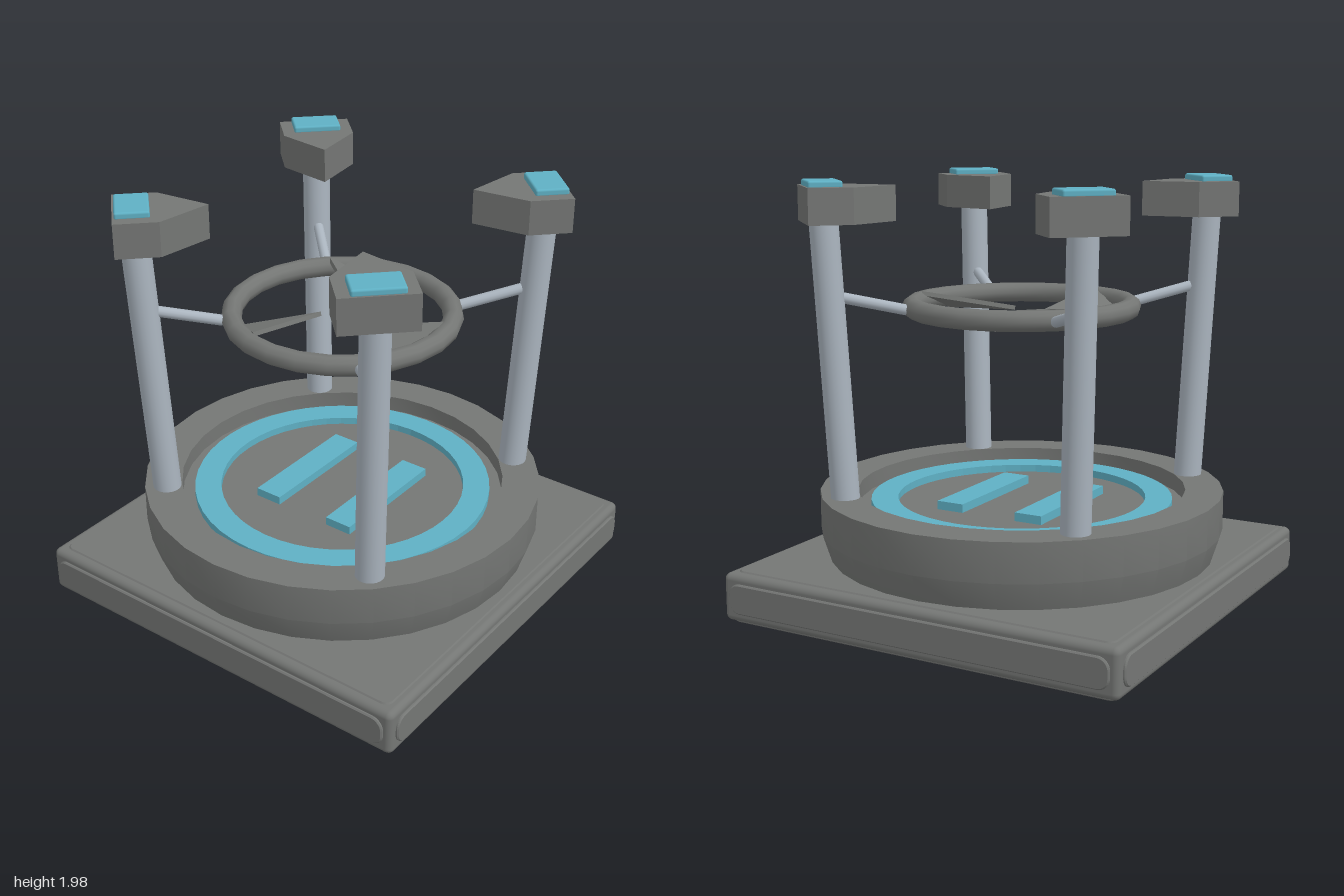
import * as THREE from 'three';
import { toCreasedNormals } from 'three/addons/utils/BufferGeometryUtils.js';
import { RoundedBoxGeometry } from 'three/addons/geometries/RoundedBoxGeometry.js';

const mat = (name, color) => {
  const m = new THREE.MeshStandardMaterial({ color });
  m.name = name;
  return m;
};

export function createModel() {
  const model = new THREE.Group();
  model.name = 'landingPad';
  const grey = mat('darkGrey', 0x747674);
  const metal = mat('paleMetal', 0xaab4be);
  const cyan = mat('cyan', 0x5fb0c4);

  const add = (parent, name, geometry, material, x = 0, y = 0, z = 0) => {
    const mesh = new THREE.Mesh(geometry, material);
    mesh.name = name;
    mesh.position.set(x, y, z);
    parent.add(mesh);
    return mesh;
  };

  // Flat polygon in (x, z), raised along y
  const slab = (points, height) => {
    const shape = new THREE.Shape(points.map(([x, z]) => new THREE.Vector2(x, -z)));
    return new THREE.ExtrudeGeometry(shape, { depth: height, bevelEnabled: false }).rotateX(-Math.PI / 2);
  };

  // Rounded panel in the xy plane with a small bevel, facing +z
  const panel = (w, h, r) => {
    const s = new THREE.Shape();
    const a = w / 2 - r, b = h / 2 - r;
    s.absarc(a, b, r, 0, Math.PI / 2);
    s.absarc(-a, b, r, Math.PI / 2, Math.PI);
    s.absarc(-a, -b, r, Math.PI, Math.PI * 1.5);
    s.absarc(a, -b, r, Math.PI * 1.5, Math.PI * 2);
    s.closePath();
    return new THREE.ExtrudeGeometry(s, {
      depth: 0.012, bevelThickness: 0.006, bevelSize: 0.006, bevelOffset: -0.006,
      bevelSegments: 1, curveSegments: 5,
    });
  };

  // Round bar between two points
  const bar = (parent, name, a, b, radius, sides) => {
    const from = new THREE.Vector3(...a), to = new THREE.Vector3(...b);
    const dir = to.clone().sub(from);
    const mesh = add(parent, name, new THREE.CylinderGeometry(radius, radius, dir.length(), sides), metal);
    mesh.position.copy(from).add(to).multiplyScalar(0.5);
    mesh.quaternion.setFromUnitVectors(new THREE.Vector3(0, 1, 0), dir.normalize());
  };

  const lathe = (profile) => toCreasedNormals(
    new THREE.LatheGeometry(profile.map(([r, y]) => new THREE.Vector2(r, y)), 32), 0.35);

  // Square base with raised panels on every side
  add(model, 'base', new RoundedBoxGeometry(1.976, 0.222, 1.976, 3, 0.03), grey, 0, 0.119, 0);
  for (let i = 0; i < 4; i++) {
    const side = new THREE.Group();
    side.name = 'baseSide';
    side.rotation.y = i * Math.PI / 2;
    add(side, 'sidePanel', panel(1.9, 0.14, 0.055), grey, 0, 0.12, 0.982);
    model.add(side);
  }
  add(model, 'topPanel', panel(1.89, 1.89, 0.04).rotateX(-Math.PI / 2), grey, 0, 0.218, 0);
  add(model, 'bottomPanel', panel(1.93, 1.93, 0.04).rotateX(Math.PI / 2), grey, 0, 0.018, 0);

  // Round platform with a sunken floor
  add(model, 'platform', lathe([
    [0.895, 0.22], [0.905, 0.25], [0.94, 0.36], [0.94, 0.54], [0.765, 0.54], [0.765, 0.46], [0, 0.46],
  ]), grey);

  // Pad markings: a ring and two parallel bars
  const ring = new THREE.Shape().absarc(0, 0, 0.705, 0, Math.PI * 2);
  ring.holes.push(new THREE.Path().absarc(0, 0, 0.58, 0, Math.PI * 2, true));
  add(model, 'padRing', new THREE.ExtrudeGeometry(ring, {
    depth: 0.035, bevelEnabled: false, curveSegments: 24,
  }).rotateX(-Math.PI / 2), cyan, 0, 0.46, 0);
  for (const s of [-1, 1]) {
    add(model, 'padBar', new THREE.BoxGeometry(0.135, 0.04, 0.62), cyan, s * 0.205, 0.48, 0);
  }

  // Four leaning posts with pointed lamp heads; local +x points outwards
  const headOutline = [[0.58, 0], [0.795, 0.166], [0.993, 0.166], [0.993, -0.166], [0.795, -0.166]];
  for (let i = 0; i < 4; i++) {
    const post = new THREE.Group();
    post.name = 'post';
    post.rotation.y = Math.PI / 4 + i * Math.PI / 2;
    bar(post, 'pole', [0.832, 0.5, 0], [0.905, 1.82, 0], 0.066, 20);
    bar(post, 'strut', [0.54, 1.39, 0], [0.87, 1.465, 0], 0.025, 12);
    add(post, 'lampHead', slab(headOutline, 0.16), grey, 0, 1.79, 0);
    add(post, 'lamp', new RoundedBoxGeometry(0.152, 0.034, 0.222, 2, 0.01), cyan, 0.908, 1.96, 0);
    model.add(post);
  }

  // Hoop hung between the posts
  add(model, 'hoop', new THREE.TorusGeometry(0.502, 0.047, 10, 24).rotateX(Math.PI / 2), grey, 0, 1.39, 0);

  // Three pitched blades inside the hoop
  for (let i = 0; i < 3; i++) {
    const arm = new THREE.Group();
    arm.name = 'bladeArm';
    arm.rotation.y = i * Math.PI * 2 / 3;
    const blade = add(arm, 'blade', slab([[0.075, 0.07], [0.47, 0.128], [0.47, -0.128]], 0.02), grey, 0, 1.38, 0);
    blade.rotation.x = 0.33;
    model.add(arm);
  }

  return model;
}
